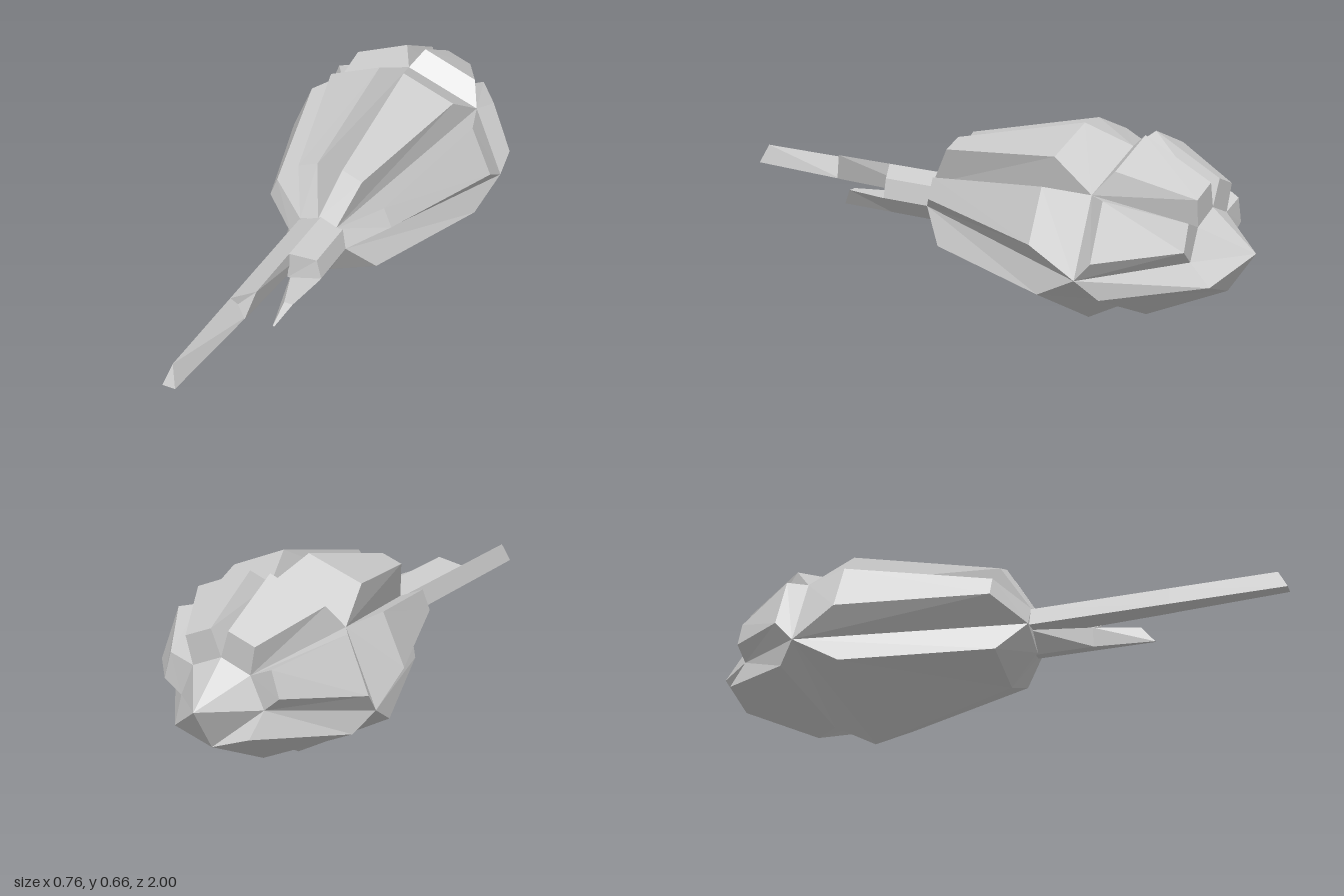
import * as THREE from 'three';

const material = new THREE.MeshStandardMaterial({ color: 0xcccccc, flatShading: true });

// Flat-shaded mesh from convex polygons, each a loop of [x, y, z] corners
function polyMesh(name, polys) {
  const pos = [];
  for (const p of polys)
    for (let i = 1; i < p.length - 1; i++) pos.push(...p[0], ...p[i], ...p[i + 1]);
  const geo = new THREE.BufferGeometry();
  geo.setAttribute('position', new THREE.Float32BufferAttribute(pos, 3));
  geo.computeVertexNormals();
  const mesh = new THREE.Mesh(geo, material);
  mesh.name = name;
  return mesh;
}

const mirror = polys => polys.map(p => p.map(([x, y, z]) => [-x, y, z]).reverse());
const ring = (z, pts) => pts.map(([x, y]) => [x, y, z]);

// Raised panel between two groove lines (l, r); a and b are its raised edges, front to back
function lobe([lf, lr], [rf, rr], [a1, a2], [b1, b2], rightWall = true) {
  const polys = [
    [lf, rf, b1, a1], [a1, b1, b2, a2], [a2, b2, rr, lr], [lf, a1, a2, lr],
  ];
  if (rightWall) polys.push([rf, rr, b2, b1]);
  return polys;
}

// Closed solid through a row of equal rings, back to front
function loft(name, rings) {
  const polys = [[...rings[0]].reverse(), rings[rings.length - 1]];
  for (let k = 0; k < rings.length - 1; k++) {
    const A = rings[k], B = rings[k + 1];
    A.forEach((p, i) => {
      const j = (i + 1) % A.length;
      polys.push([p, A[j], B[j]], [p, B[j], B[i]]);
    });
  }
  return polyMesh(name, polys);
}

export function createModel() {
  const model = new THREE.Group();
  const body = new THREE.Group();
  body.name = 'body';
  model.add(body);

  // Groove points from the top round to the bottom
  const front = ring(0.15, [[0, 0.4], [0.065, 0.382], [0.1, 0.312], [0, 0.25]]);
  const waist = ring(-0.57, [[0, 0.595], [0.26, 0.495], [0.362, 0.25], [0, 0.08]]);
  const tip = [0, 0.315, -1];
  const rear = [...ring(-0.85, [[0, 0.44], [0.1, 0.4], [0.145, 0.3]]), tip];

  // Raised edges, two per lobe
  const f1 = ring(0.06, [[0.045, 0.55], [0.115, 0.522], [0.195, 0.445], [0.222, 0.378], [0.17, 0.205], [0, 0.137]]);
  const f2 = ring(-0.42, [[0.045, 0.66], [0.23, 0.588], [0.305, 0.51], [0.378, 0.343], [0.328, 0.17], [0, 0]]);
  const r1 = ring(-0.63, [[0.035, 0.645], [0.225, 0.57], [0.3, 0.495], [0.37, 0.315], [0.315, 0.185], [0, 0.05]]);
  const r2 = [
    ...ring(-0.855, [[0.03, 0.525], [0.12, 0.49], [0.175, 0.43], [0.2, 0.345]]),
    ...ring(-0.91, [[0.13, 0.225], [0, 0.18]]),
  ];

  // Front and back lobes, mirrored across x
  ['top', 'side', 'bottom'].forEach((place, i) => {
    const wall = i < 2, a = 2 * i, b = a + 1;
    const halves = {
      Front: lobe([front[i], waist[i]], [front[i + 1], waist[i + 1]], [f1[a], f2[a]], [f1[b], f2[b]], wall),
      Back: lobe([waist[i], rear[i]], [waist[i + 1], rear[i + 1]], [r1[a], r2[a]], [r1[b], r2[b]], wall),
    };
    for (const [end, polys] of Object.entries(halves)) {
      body.add(polyMesh(`${place}${end}LobeLeft`, polys));
      body.add(polyMesh(`${place}${end}LobeRight`, mirror(polys)));
    }
  });

  // Pointed rear cap and flat front cap
  const cone = [[rear[0], rear[1], tip], [rear[1], rear[2], tip]];
  body.add(polyMesh('rearPoint', [...cone, ...mirror(cone)]));
  const flip = ([x, y, z]) => [-x, y, z];
  body.add(polyMesh('frontCap', [[front[0], flip(front[1]), flip(front[2]), front[3], front[2], front[1]]]));

  // Splintered stem
  const stem = new THREE.Group();
  stem.name = 'stem';
  model.add(stem);
  const main = [[-0.09, 0.312], [0.008, 0.312], [0.008, 0.407], [-0.068, 0.378]];
  stem.add(loft('stemMain', [
    ring(0.14, main),
    main.map(([x, y], i) => [i === 1 ? -0.02 : x, y, [0.62, 0.62, 0.59, 0.62][i]]),
  ]));
  stem.add(loft('stemLongSplinter', [
    ring(0.6, [[-0.09, 0.312], [-0.02, 0.312], [-0.068, 0.378]]),
    [[-0.09, 0.312, 1], [-0.047, 0.312, 1], [-0.068, 0.378, 0.97]],
  ]));
  const stub = [[0, 0.312], [0.1, 0.312], [0.085, 0.378], [0.008, 0.407]];
  stem.add(loft('stemStub', [
    ring(0.14, stub),
    stub.map(([x, y], i) => [x, y, [0.37, 0.33, 0.33, 0.37][i]]),
  ]));
  stem.add(loft('stemLowerSplinter', [
    ring(0.14, [[-0.05, 0.312], [0.008, 0.247], [0.04, 0.247], [0.1, 0.312]]),
    ring(0.34, [[0, 0.312], [0.008, 0.247], [0.04, 0.247], [0.1, 0.312]]),
    [[0.05, 0.312, 0.49], [0.034, 0.247, 0.54], [0.04, 0.247, 0.54], [0.08, 0.312, 0.49]],
  ]));

  return model;
}
